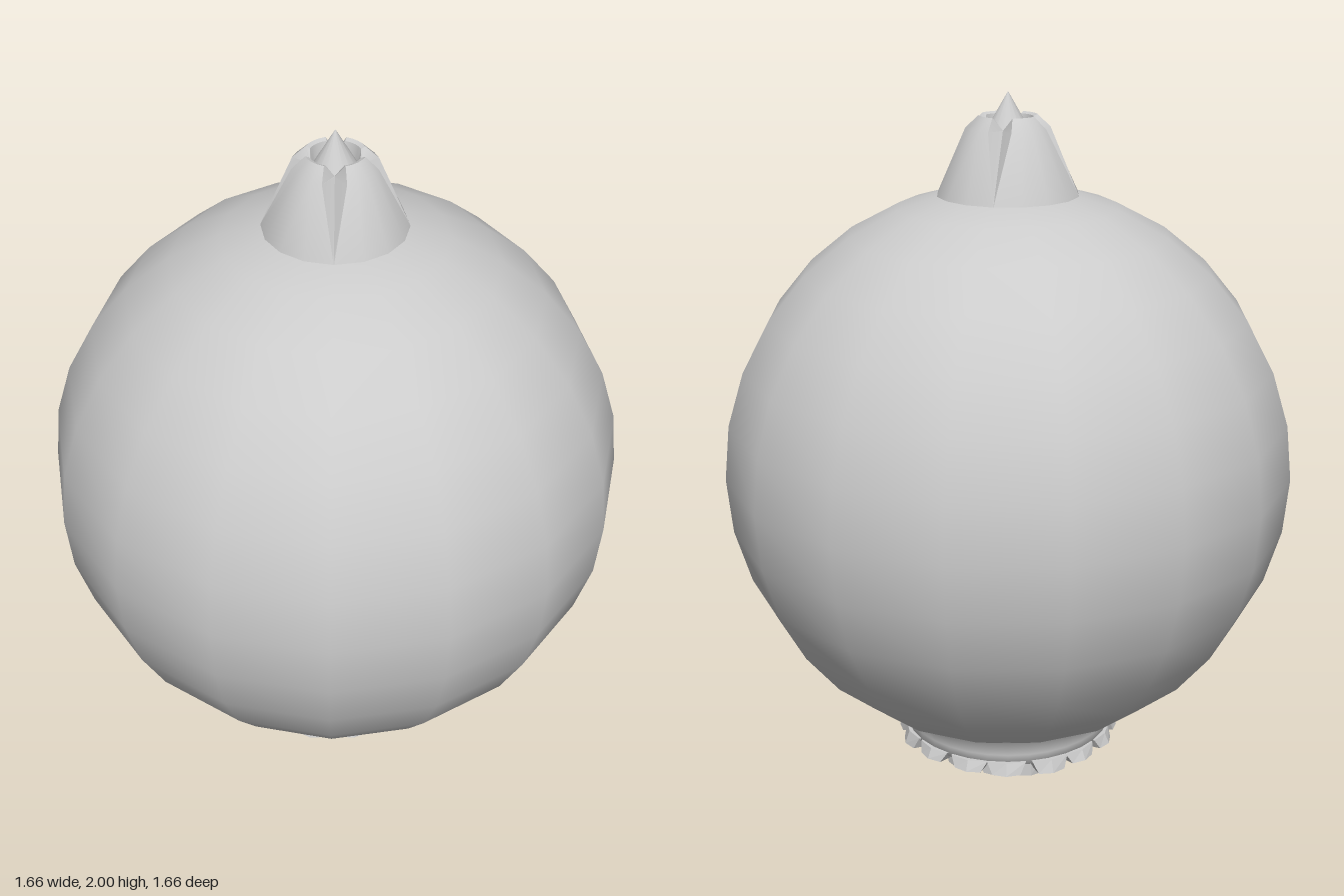
import * as THREE from 'three';
import { toCreasedNormals } from 'three/addons/utils/BufferGeometryUtils.js';

const material = new THREE.MeshStandardMaterial({ color: 0xcccccc });
const flatMaterial = new THREE.MeshStandardMaterial({ color: 0xcccccc, flatShading: true });

function add(parent, name, geometry, mat = material) {
  const mesh = new THREE.Mesh(geometry, mat);
  mesh.name = name;
  parent.add(mesh);
  return mesh;
}

// Small seeded generator for the ragged rim
function seeded(seed) {
  return () => (seed = (seed * 16807) % 2147483647) / 2147483647;
}

// Tapered neck with four V grooves that open towards the top
function neckGeometry() {
  // height, radius, groove height, groove radius, groove half width
  const levels = [
    [1.68, 0.215, 1.68, 0.215, 0.002],
    [1.72, 0.2, 1.72, 0.198, 0.002],
    [1.9, 0.12, 1.9, 0.072, 0.034],
    [1.935, 0.084, 1.9, 0.069, 0.03],
    [1.93, 0.072, 1.897, 0.066, 0.026],
    [1.885, 0.062, 1.885, 0.06, 0.02],
  ];
  const arcSteps = 4, positions = [], index = [];
  const around = 4 * (arcSteps + 2);
  for (const [y, r, grooveY, grooveR, w] of levels) {
    const gap = Math.atan2(w, r);
    for (let q = 0; q < 4; q++) {
      const start = q * Math.PI / 2;
      positions.push(grooveR * Math.cos(start), grooveY, grooveR * Math.sin(start));
      for (let k = 0; k <= arcSteps; k++) {
        const a = start + gap + (Math.PI / 2 - 2 * gap) * k / arcSteps;
        positions.push(r * Math.cos(a), y, r * Math.sin(a));
      }
    }
  }
  for (let i = 0; i < levels.length - 1; i++) {
    for (let j = 0; j < around; j++) {
      const a = i * around + j, b = i * around + (j + 1) % around;
      index.push(a, a + around, b, b, a + around, b + around);
    }
  }
  const g = new THREE.BufferGeometry();
  g.setAttribute('position', new THREE.Float32BufferAttribute(positions, 3));
  g.setIndex(index);
  return toCreasedNormals(g, 0.6);
}

// Block that narrows and leans outwards towards its lower end
function toothGeometry(width, height, depth, lean) {
  const g = new THREE.BoxGeometry(width, height, depth, 2, 1, 1);
  const p = g.attributes.position;
  for (let i = 0; i < p.count; i++) {
    const x = p.getX(i);
    if (p.getY(i) < 0) {
      p.setX(i, x * 0.72);
      p.setZ(i, p.getZ(i) * 0.7 + lean);
    }
    if (Math.abs(x) < 1e-6) p.setZ(i, p.getZ(i) + 0.012);
  }
  return g;
}

function toothRing(parent, name, count, radius, size, top, lean, random) {
  const ring = new THREE.Group();
  ring.name = name;
  for (let i = 0; i < count; i++) {
    const height = size[1] * (0.7 + 0.3 * random());
    const tooth = add(ring, 'rimTooth', toothGeometry(size[0], height, size[2], lean), flatMaterial);
    const a = (i + 0.5 + 0.2 * (random() - 0.5)) / count * Math.PI * 2;
    tooth.position.set(radius * Math.sin(a), top - height / 2, radius * Math.cos(a));
    tooth.rotation.y = a;
  }
  parent.add(ring);
}

export function createModel() {
  const model = new THREE.Group();
  model.name = 'roundPod';

  // Round body
  add(model, 'body', new THREE.SphereGeometry(0.83, 16, 16)).position.y = 0.91;

  // Grooved neck and the pointed core inside it
  add(model, 'neck', neckGeometry());
  const tip = add(model, 'tip', new THREE.ConeGeometry(0.067, 0.115, 16));
  tip.position.y = 1.9425;

  // Collar under the body, curling in to a shallow hollow
  const profile = [[0.14, 0.105], [0.165, 0.07], [0.22, 0.058], [0.28, 0.058],
    [0.312, 0.07], [0.31, 0.1], [0.32, 0.145], [0.35, 0.17]];
  add(model, 'collar', new THREE.LatheGeometry(profile.map(p => new THREE.Vector2(...p)), 32));

  // Ragged rim: a wide outer row and a lower inner row
  const random = seeded(41);
  toothRing(model, 'outerRim', 16, 0.284, [0.115, 0.042, 0.055], 0.08, 0.022, random);
  toothRing(model, 'innerRim', 13, 0.215, [0.1, 0.07, 0.07], 0.07, 0.012, random);
  return model;
}
